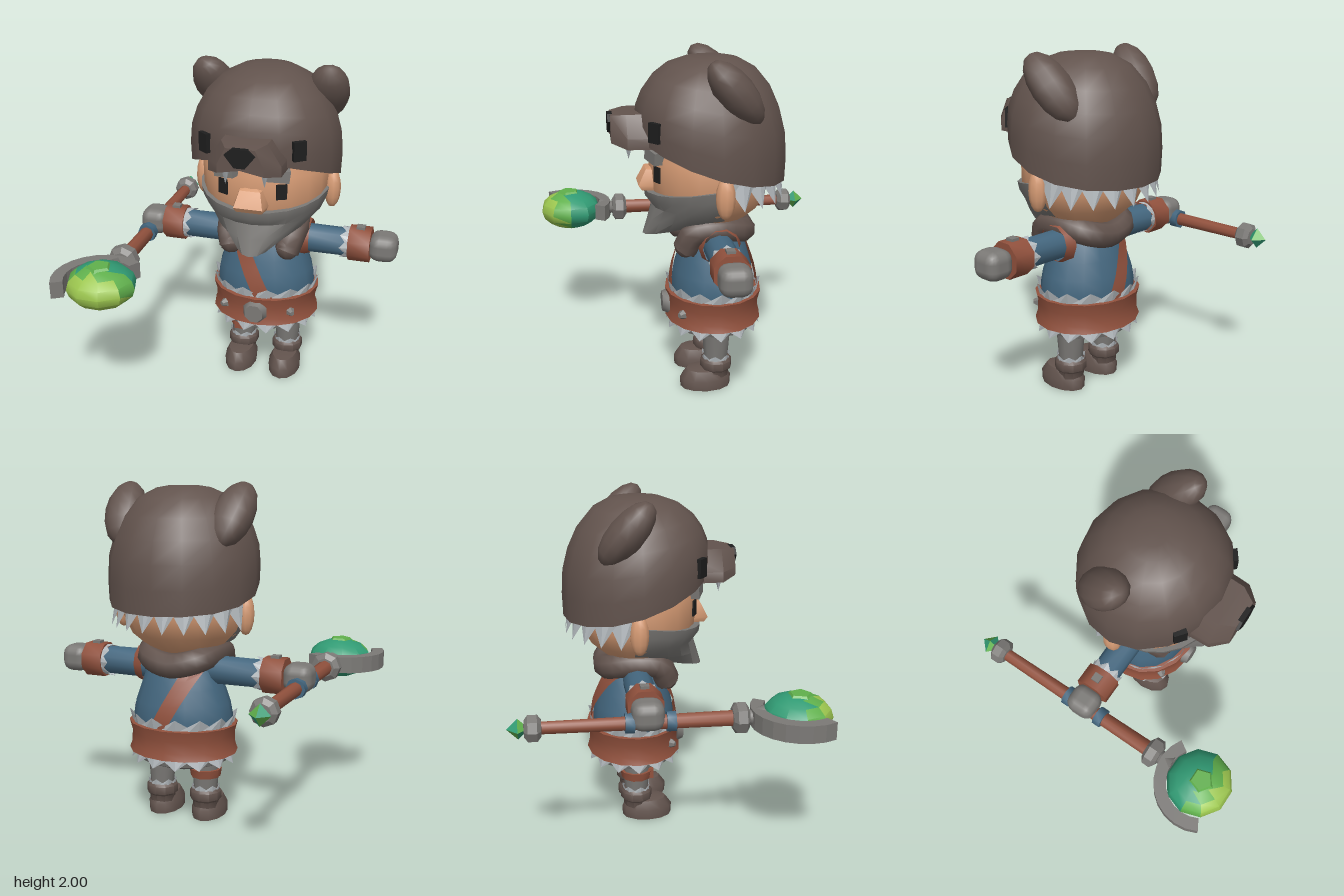
import * as THREE from 'three';
import { toCreasedNormals } from 'three/addons/utils/BufferGeometryUtils.js';
import { RoundedBoxGeometry } from 'three/addons/geometries/RoundedBoxGeometry.js';

const paint = (name, color, double) => {
  const m = new THREE.MeshStandardMaterial({ color });
  m.name = name;
  if (double) m.side = THREE.DoubleSide;
  return m;
};
const { PI, sin, cos, sqrt, max } = Math;
const V = (x, y, z) => new THREE.Vector3(x, y, z);

// Skin rows of points, lower row first, each row running counterclockwise seen from above
function loft(rows, closed = true, crease = 0.8) {
  const n = rows[0].length, idx = [];
  for (let i = 0; i < rows.length - 1; i++)
    for (let j = 0; j < (closed ? n : n - 1); j++) {
      const k = (j + 1) % n, a = i * n + j, b = i * n + k, c = b + n, d = a + n;
      idx.push(a, b, c, a, c, d);
    }
  const g = new THREE.BufferGeometry().setFromPoints(rows.flat());
  g.setIndex(idx);
  return toCreasedNormals(g, crease);
}
const lathe = (pts, seg = 16, crease = 0.8) =>
  toCreasedNormals(new THREE.LatheGeometry(pts.map(p => new THREE.Vector2(...p)), seg), crease);
const tube = (rTop, rBot, h, seg = 10) => toCreasedNormals(new THREE.CylinderGeometry(rTop, rBot, h, seg), 0.8);

// Zigzag fur trim: a ring whose far edge alternates in height and radius
function fringe(teeth, rx, rz, yEdge, yTip, from = 0, to = 2 * PI) {
  const edge = [], mid = [];
  for (let i = 0; i <= teeth * 2; i++) {
    const a = from + (to - from) * i / (teeth * 2), f = i % 2;
    const r = f ? 1.07 : 0.99;
    edge.push(V(rx * sin(a), yEdge, rz * cos(a)));
    mid.push(V(rx * r * sin(a), f ? yTip : yTip + (yEdge - yTip) * 0.55, rz * r * cos(a)));
  }
  return loft(yTip < yEdge ? [mid, edge] : [edge, mid], false, 0.01);
}

export function createModel() {
  const fur = paint('brown fur', 0x62534d), skin = paint('skin', 0xd69b74), grey = paint('grey', 0x7b7976),
    pale = paint('pale fur', 0xb2b8bc, true), blue = paint('blue cloth', 0x44677f),
    leather = paint('leather', 0x91513d, true), black = paint('black', 0x1e1e1e),
    teal = paint('teal crystal', 0x319b74), green = paint('green crystal', 0x60b04c), lime = paint('lime crystal', 0x9cc64f);

  const model = new THREE.Group();
  model.name = 'model';
  const body = new THREE.Group();
  body.name = 'body';
  body.position.x = 0.1;
  model.add(body);
  const add = (parent, name, geo, mat, x = 0, y = 0, z = 0) => {
    const m = new THREE.Mesh(geo, mat);
    m.name = name;
    m.position.set(x, y, z);
    parent.add(m);
    return m;
  };
  const Z = -0.14;

  // Tunic, hem and belt
  const torso = [[0.3, 0.56], [0.305, 0.64], [0.29, 0.72], [0.255, 0.82], [0.22, 0.92], [0.17, 1.0], [0, 1.03]];
  const part = (name, pts, mat, depth, seg) => { add(body, name, lathe(pts, seg), mat, 0, 0, Z).scale.z = depth; };
  part('tunic', torso, blue, 0.82);
  part('hem', [[0, 0.37], [0.2, 0.34], [0.275, 0.37], [0.3, 0.44]], grey, 0.88);
  part('belt', [[0.29, 0.42], [0.333, 0.42], [0.318, 0.46], [0.315, 0.53], [0.333, 0.595], [0.29, 0.6]], leather, 0.87);
  add(body, 'upperTrim', fringe(14, 0.31, 0.265, 0.585, 0.665), pale, 0, 0, Z);
  add(body, 'lowerTrim', fringe(14, 0.3, 0.265, 0.44, 0.36), pale, 0, 0, Z);
  add(body, 'buckle', tube(0.06, 0.078, 0.04, 8), grey, 0, 0.505, 0.15).rotation.set(PI / 2, PI / 8, 0);
  for (const s of [-1, 1])
    add(body, 'beltStud', tube(0.015, 0.03, 0.03, 6), grey, s * 0.215, 0.5, 0.08).rotation.set(PI / 2, 0, -s * 0.65);

  // Sash across the chest and back
  const radiusAt = y => {
    const i = max(1, torso.findIndex(p => p[1] >= y)), [r0, y0] = torso[i - 1], [r1, y1] = torso[i];
    return r0 + (r1 - r0) * (y - y0) / (y1 - y0);
  };
  for (const s of [1, -1]) {
    const rows = [];
    for (let i = 0; i <= 8; i++) {
      const y = 0.59 + 0.38 * i / 8, r = radiusAt(y) + 0.012;
      rows.push([-1, 0, 1].map(k => {
        const x = 0.05 - 0.2 * i / 8 + k * s * 0.055;
        return V(x, y, Z + s * 0.84 * sqrt(max(0, r * r - x * x)));
      }));
    }
    add(body, 'sash', loft(rows, false), leather);
  }
  add(body, 'shoulderStrap', new THREE.CylinderGeometry(0.105, 0.125, 0.06, 10, 1, true), leather, 0.25, 0.93, Z).rotation.z = -PI / 2;

  // Fur collar with two paws in front
  const collarPath = new THREE.CatmullRomCurve3([[-0.17, 0.9, 0.05], [-0.2, 1.0, 0], [-0.2, 1.02, -0.14], [-0.14, 0.99, -0.28],
    [0, 0.96, -0.31], [0.14, 0.99, -0.28], [0.2, 1.02, -0.14], [0.2, 1.0, 0], [0.17, 0.9, 0.05]].map(p => V(...p)));
  add(body, 'collar', new THREE.TubeGeometry(collarPath, 24, 0.075, 8), fur);
  for (const s of [-1, 1])
    add(body, 'collarPaw', new THREE.SphereGeometry(1, 8, 6), fur, s * 0.175, 0.925, 0.05).scale.set(0.075, 0.075, 0.065);

  // Legs and boots
  for (const s of [-1, 1]) {
    const leg = new THREE.Group();
    leg.name = s < 0 ? 'rightLeg' : 'leftLeg';
    leg.position.set(s * 0.145, 0, Z);
    body.add(leg);
    add(leg, 'trouser', tube(0.09, 0.07, 0.24), grey, 0, 0.29);
    add(leg, 'bootTrim', fringe(7, 0.082, 0.082, 0.175, 0.22), pale);
    add(leg, 'bootShaft', lathe([[0.075, 0.05], [0.08, 0.11], [0.096, 0.125], [0.096, 0.17], [0.08, 0.19], [0, 0.19]], 10), fur);
    add(leg, 'bootFoot', lathe([[0, 0], [0.098, 0], [0.1, 0.06], [0.075, 0.115], [0, 0.135]], 12), fur, 0, 0, 0.065).scale.z = 1.55;
    if (s < 0) {
      add(leg, 'legBand', tube(0.098, 0.09, 0.05), leather, 0, 0.288);
      add(leg, 'legPouch', new THREE.BoxGeometry(0.07, 0.06, 0.03), leather, 0, 0.285, 0.09);
    }
  }

  // Arms, built outward along local x
  for (const s of [-1, 1]) {
    const arm = new THREE.Group();
    arm.name = s < 0 ? 'rightArm' : 'leftArm';
    arm.position.set(0, 0.92, -0.135);
    arm.rotation.y = s < 0 ? PI : 0;
    body.add(arm);
    const along = (name, geo, mat, x) => { add(arm, name, geo, mat, x).rotation.set(0, PI / 8, -PI / 2, 'ZYX'); };
    along('sleeve', tube(0.085, 0.088, 0.38), blue, 0.31);
    along('sleeveTrim', fringe(8, 0.093, 0.093, 0.06, 0), pale, 0.465);
    along('cuff', tube(0.108, 0.108, 0.13, 8), leather, 0.58);
    add(arm, 'cuffStud', new THREE.BoxGeometry(0.05, 0.03, 0.05), grey, 0.58, 0.1);
    add(arm, 'hand', new RoundedBoxGeometry(0.17, 0.165, 0.18, 2, 0.06), grey, 0.72);
  }

  // Head and face
  part('head', [[0, 1.0], [0.2, 1.03], [0.32, 1.13], [0.37, 1.24], [0.375, 1.42], [0.32, 1.58], [0, 1.65]], skin, 0.93, 20);
  body.getObjectByName('head').position.z = -0.11;
  const noseRow = (y, w, zf) => [V(-w, y, 0.15), V(-w * 0.75, y, zf), V(w * 0.75, y, zf), V(w, y, 0.15)];
  add(body, 'nose', loft([noseRow(1.23, 0, 0.2), noseRow(1.23, 0.1, 0.285), noseRow(1.26, 0.112, 0.305),
    noseRow(1.35, 0.08, 0.26), noseRow(1.37, 0, 0.2)]), skin);
  for (const s of [-1, 1]) {
    add(body, 'eye', new THREE.BoxGeometry(0.062, 0.09, 0.009), black, s * 0.17, 1.345, 0.208).rotation.y = s * 0.44;
    add(body, 'ear', new THREE.SphereGeometry(1, 10, 8), skin, s * 0.395, 1.26, -0.14).scale.set(0.05, 0.122, 0.055);
    add(body, 'eyebrow', new THREE.BoxGeometry(0.13, 0.07, 0.06), grey, s * 0.15, 1.45, 0.22).rotation.set(0, s * 0.35, -s * 0.12);
  }

  // Beard: [front y, side y, half width, front z], chin first
  const beardRows = [[1.04, 1.08, 0.02, 0], [0.95, 1.05, 0.16, 0.28], [1.05, 1.09, 0.28, 0.25], [1.13, 1.16, 0.345, 0.225],
    [1.18, 1.23, 0.375, 0.262], [1.225, 1.29, 0.388, 0.268], [1.225, 1.29, 0.35, 0.2]].map(([yf, ys, w, zf]) => {
    const row = [];
    for (let i = 0; i <= 12; i++) {
      const a = (i / 6 - 1) * 1.7, c = cos(a);
      row.push(V(w * sin(a), ys + (yf - ys) * max(0, c), -0.11 + (zf + 0.11) * c));
    }
    return row;
  });
  add(body, 'beard', loft(beardRows, false, 0.6), grey);
  add(body, 'hair', fringe(10, 0.4, 0.4, 1.36, 1.18, 0.55 * PI, 1.45 * PI), pale, 0, 0, -0.12);

  // Bear hood: rim is high in front and low behind
  const hoodRow = (v, f) => {
    const row = [];
    for (let i = 0; i < 16; i++) {
      const a = i / 16 * 2 * PI, c = cos(a), rim = 1.365 + 0.13 * c + 0.045 * c * c;
      row.push(V(0.447 * f * sin(a), rim + (1.98 - rim) * v, -0.12 + 0.437 * f * c));
    }
    return row;
  };
  add(body, 'hood', loft([[0.15, 0.8], [0, 0.88], [0, 0.99], [0.2, 1], [0.4, 0.98], [0.58, 0.905], [0.75, 0.78],
    [0.9, 0.58], [0.98, 0.35], [1, 0.18], [1, 0]].map(p => hoodRow(...p)), true, 0.9), fur);
  const muzzle = [[0, 1.53], [0.215, 1.5], [0.215, 1.56], [0.135, 1.68], [-0.135, 1.68], [-0.215, 1.56], [-0.215, 1.5]];
  add(body, 'muzzle', loft([[0.1, 1, 1], [0.37, 0.95, 1], [0.455, 0.6, 0.8], [0.455, 0, 0]].map(([z, w, h]) =>
    muzzle.map(([x, y]) => V(x * w, 1.62 + (y - 1.62) * h, z))), true, 0.6), fur);
  const snoutTip = new THREE.Shape([[-0.085, 1.635], [-0.03, 1.565], [0.03, 1.565], [0.085, 1.635], [0.045, 1.67], [-0.045, 1.67]]
    .map(p => new THREE.Vector2(...p)));
  add(body, 'bearNose', new THREE.ExtrudeGeometry(snoutTip, { depth: 0.05, bevelEnabled: false }), black, 0, 0, 0.42);
  for (const s of [-1, 1]) {
    add(body, 'bearEye', new THREE.BoxGeometry(0.075, 0.11, 0.05), black, s * 0.262, 1.605, 0.22).rotation.y = s * 0.66;
    add(body, 'fang', new THREE.ConeGeometry(0.028, 0.1, 5), pale, s * 0.11, 1.475, 0.36).rotation.x = PI;
    const ear = add(body, 'bearEar', new THREE.SphereGeometry(1, 12, 8), fur, s * 0.335, 1.82, -0.2);
    ear.scale.set(0.125, 0.22, 0.105);
    ear.rotation.set(0.69, 0, -0.15 * s);
  }

  // Staff, built along local y which points forward
  const staff = new THREE.Group();
  staff.name = 'staff';
  staff.position.set(-0.635, 0.88, 0);
  staff.rotation.x = PI / 2;
  model.add(staff);
  add(staff, 'shaft', tube(0.046, 0.036, 1.06, 8), leather, 0, -0.19);
  for (const y of [-0.235, -0.01]) add(staff, 'gripWrap', tube(0.058, 0.058, 0.05, 8), blue, 0, y);
  const knob = r => lathe([[0, -0.05], [r * 0.65, -0.045], [r, -0.025], [r, 0.025], [r * 0.65, 0.045], [0, 0.05]], 8, 0.3);
  add(staff, 'frontKnob', knob(0.09), grey, 0, 0.37);
  add(staff, 'rearKnob', knob(0.077), grey, 0, -0.75);
  add(staff, 'neck', tube(0.065, 0.035, 0.1, 8), grey, 0, 0.45);
  const tip = new THREE.OctahedronGeometry(0.06);
  for (let i = 0; i < 8; i++) tip.addGroup(i * 3, 3, i % 2);
  add(staff, 'tailCrystal', tip, [green, teal], 0, -0.828);

  // Crescent claw holding the orb
  const claw = new THREE.Shape();
  claw.absarc(0, 0, 0.272, 1.0, 3.66, false);
  claw.absarc(0, 0, 0.2, 3.66, 1.0, true);
  add(model, 'crescent', new THREE.ExtrudeGeometry(claw, { depth: 0.1, bevelEnabled: false, curveSegments: 5 }).rotateX(-PI / 2),
    grey, -0.64, 0.83, 0.7);

  // Orb, shading from teal at the back to lime in front
  const orb = toCreasedNormals(new THREE.SphereGeometry(0.2, 10, 8).scale(1, 0.61, 0.97), 0.6), p = orb.attributes.position;
  for (let i = 0; i < p.count; i += 3) {
    let t = 0;
    for (let k = i; k < i + 3; k++) t += (p.getZ(k) - 0.3 * p.getY(k)) / 3;
    orb.addGroup(i, 3, t > 0.07 ? 2 : t > 0 ? 1 : 0);
  }
  add(model, 'orb', orb, [teal, green, lime], -0.635, 0.88, 0.69);
  add(model, 'orbFacet', tube(0.06, 0.1, 0.05, 5), green, -0.635, 0.982, 0.7);
  return model;
}
